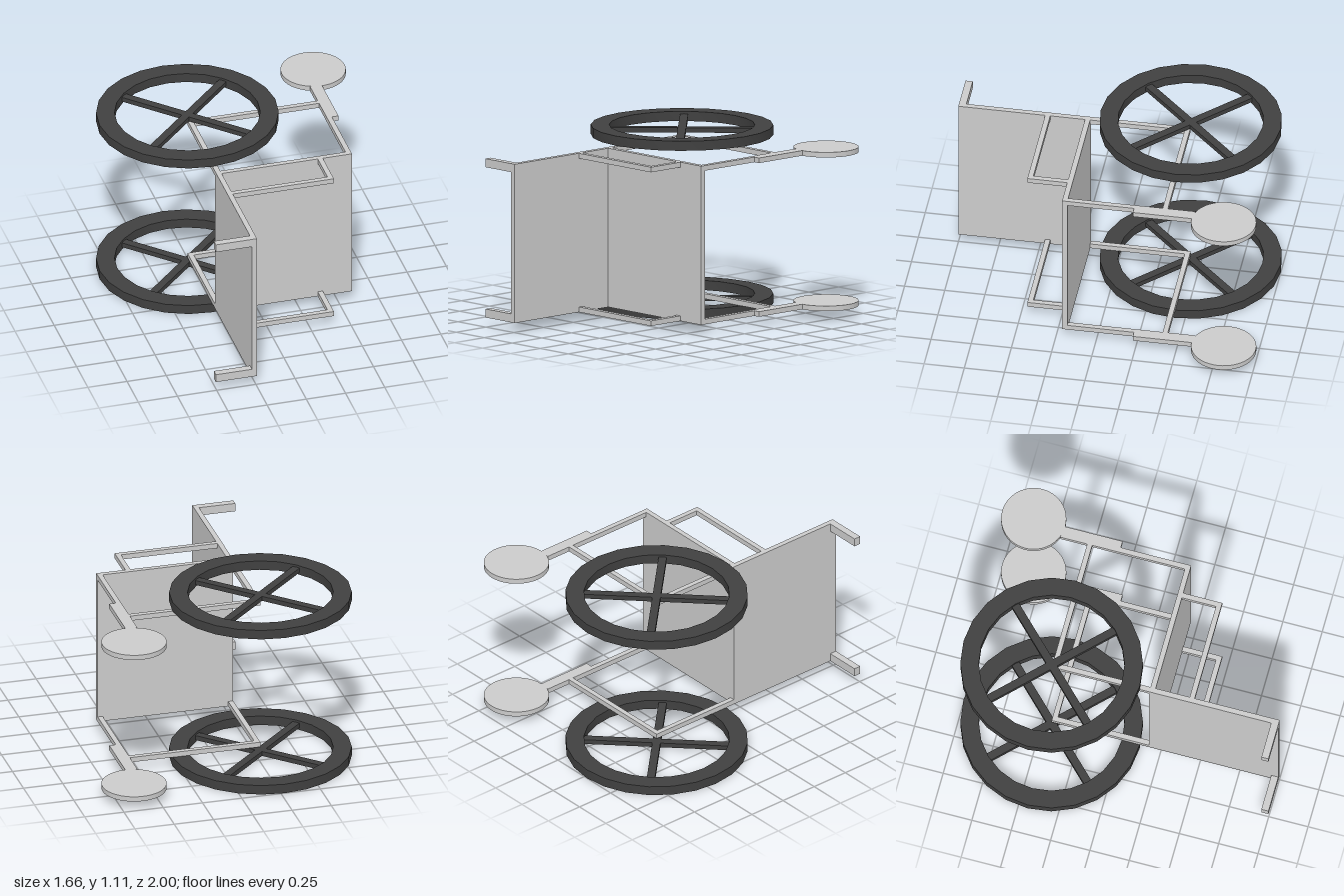
import * as THREE from 'three';
import { toCreasedNormals } from 'three/addons/utils/BufferGeometryUtils.js';

// A wheelchair lying on its side: its side profile lies in the xz plane, its width runs along y.
const BOTTOM = 0.06, TOP = 1.05, ROD = 0.032;

export function createModel() {
  const group = new THREE.Group();
  const grey = new THREE.MeshStandardMaterial({ color: 0xcccccc });
  const dark = new THREE.MeshStandardMaterial({ color: 0x404040 });

  const add = (parent, name, geometry, material = grey) => {
    const mesh = new THREE.Mesh(geometry, material);
    mesh.name = name;
    parent.add(mesh);
    return mesh;
  };
  // Box given by its limits on each axis
  const box = (parent, name, x0, x1, y0, y1, z0, z1) =>
    add(parent, name, new THREE.BoxGeometry(x1 - x0, y1 - y0, z1 - z0))
      .position.set((x0 + x1) / 2, (y0 + y1) / 2, (z0 + z1) / 2);

  // Seat and backrest panels span the full width
  box(group, 'backrest', -0.275, -0.243, BOTTOM, TOP, 0.18, 1);
  box(group, 'seat', -0.243, 0.588, BOTTOM, TOP, 0.18, 0.212);

  // Large wheel: flat ring with two crossed spokes
  const ring = new THREE.Shape().absarc(0, 0, 0.56, 0, Math.PI * 2);
  ring.holes.push(new THREE.Path().absarc(0, 0, 0.447, 0, Math.PI * 2, true));
  const rimGeometry = toCreasedNormals(
    new THREE.ExtrudeGeometry(ring, { depth: 0.06, bevelEnabled: false, curveSegments: 12 })
      .translate(0, 0, -0.03).rotateX(-Math.PI / 2), 0.5);

  const addWheel = (name, y) => {
    const wheel = new THREE.Group();
    wheel.name = name;
    wheel.position.set(-0.275, y, -0.44);
    add(wheel, 'rim', rimGeometry, dark);
    for (const turn of [1, -1]) {
      add(wheel, 'spoke', new THREE.BoxGeometry(0.92, 0.03, 0.05), dark)
        .rotation.y = turn * Math.PI / 4;
    }
    group.add(wheel);
  };

  // One side frame; y0 is its lower face, handle limits reach inward
  const addSide = (name, y0, handle0, handle1) => {
    const side = new THREE.Group();
    side.name = name;
    const y1 = y0 + ROD;
    const rod = (part, x0, x1, z0, z1) => box(side, part, x0, x1, y0, y1, z0, z1);
    rod('rearPost', -0.275, -0.243, -0.44, 0.18);
    rod('lowerRail', -0.243, 0.556, -0.44, -0.408);
    rod('frontPost', 0.556, 0.588, -0.61, 0.18);
    rod('casterStem', 0.588, 0.63, -0.61, -0.235);
    rod('armrest', -0.243, 0.402, 0.428, 0.46);
    rod('armrestPost', 0.37, 0.402, 0.212, 0.428);
    box(side, 'pushHandle', -0.505, -0.275, handle0, handle1, 0.955, 1);
    add(side, 'caster', new THREE.CylinderGeometry(0.2, 0.2, ROD, 48))
      .position.set(0.63, (y0 + y1) / 2, -0.8);
    group.add(side);
  };

  addWheel('lowerWheel', 0.03);
  addWheel('upperWheel', 1.08);
  addSide('lowerSideFrame', BOTTOM, BOTTOM, BOTTOM + 0.053);
  addSide('upperSideFrame', TOP - ROD, TOP - 0.053, TOP);
  return group;
}
